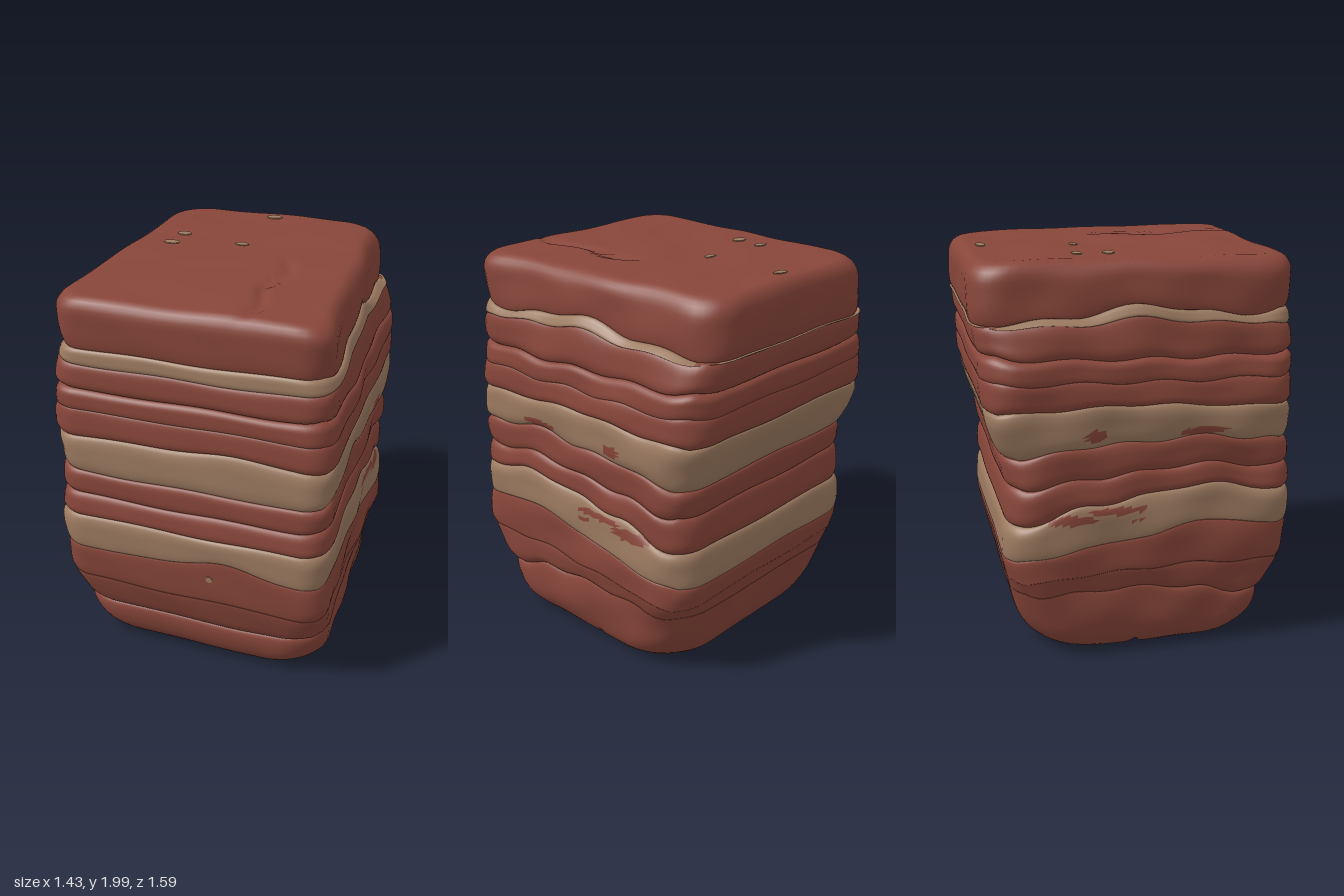
import * as THREE from 'three';

const red = new THREE.MeshStandardMaterial({ color: 0x88463a });
red.name = 'brick red';
const cream = new THREE.MeshStandardMaterial({ color: 0x9c7a60 });
cream.name = 'sandy tan';

// z positions at which each layer's top height is given, front to back
const KNOTS = [0.76, 0.6, 0.3, 0, -0.3, -0.72];

// Layers from the ground up. top: heights at KNOTS; size: half width, front reach, back reach;
// patches: red ovals on the left and right sides as z, y, half length, half height
const LAYERS = [
  { name: 'footLayer', mat: red, top: [0.24, 0.27, 0.33, 0.36, 0.37, 0.36], size: [0.675, 0.69, 0.65], groove: 0.03, smoothBack: true },
  { name: 'lowerRedLayer', mat: red, top: [0.45, 0.46, 0.48, 0.48, 0.47, 0.44], size: [0.7, 0.76, 0.67], groove: 0.008, smoothBack: true },
  { name: 'middleRedLayer', mat: red, top: [0.65, 0.66, 0.71, 0.65, 0.61, 0.55], size: [0.705, 0.78, 0.69], groove: 0.01, bump: 0.06 },
  {
    name: 'lowerTanBand', mat: cream, top: [0.83, 0.85, 0.9, 0.86, 0.83, 0.73], size: [0.7, 0.785, 0.68], groove: 0.025,
    patches: [[-0.14, 0.797, 0.15, 0.018], [-0.36, 0.762, 0.12, 0.028], [-0.05, 0.745, 0.04, 0.01]],
  },
  { name: 'thinRedLayer', mat: red, top: [0.95, 0.96, 1.0, 0.98, 0.96, 0.92], size: [0.69, 0.765, 0.67], groove: 0.02 },
  { name: 'upperRedLayer', mat: red, top: [1.08, 1.1, 1.14, 1.125, 1.12, 1.07], size: [0.695, 0.765, 0.69], groove: 0.02 },
  {
    name: 'middleTanBand', mat: cream, top: [1.28, 1.28, 1.3, 1.325, 1.32, 1.31], size: [0.71, 0.765, 0.765], groove: 0.025, bump: 0.025,
    patches: [[0.28, 1.172, 0.12, 0.02], [-0.25, 1.18, 0.05, 0.03]],
  },
  { name: 'foldedRedLayer', mat: red, top: [1.42, 1.42, 1.42, 1.43, 1.44, 1.45], size: [0.7, 0.755, 0.775], groove: 0.01 },
  { name: 'creasedRedLayer', mat: red, top: [1.52, 1.52, 1.52, 1.53, 1.54, 1.56], size: [0.69, 0.75, 0.775], groove: 0.03 },
  { name: 'narrowRedLayer', mat: red, top: [1.65, 1.68, 1.69, 1.725, 1.7, 1.7], size: [0.685, 0.745, 0.785], groove: 0.014, taper: 0.04 },
  { name: 'upperTanBand', mat: cream, top: [1.73, 1.715, 1.74, 1.785, 1.735, 1.705], size: [0.664, 0.74, 0.795], groove: 0.014, taper: 0.065 },
  { name: 'topSlab', mat: red, top: [1.985, 1.985, 1.985, 1.985, 1.985, 1.985], size: [0.66, 0.75, 0.8], groove: 0.075, taper: 0.1 },
];
const GROUND = { top: [0, 0, 0, 0, 0, 0], size: [0.65, 0.64, 0.57], groove: 0.11 };

const SIDE = 36;              // points along each side of a ring
const N = SIDE * 4;
const { lerp, clamp } = THREE.MathUtils;

// Ring parameter to a point on the unit square
function squarePoint(i) {
  const f = ((i % SIDE) / SIDE) * 2 - 1;
  return [[1, f], [-f, 1], [-1, -f], [f, -1]][Math.floor(i / SIDE)];
}

// Layer height at depth z, eased between the knots
function heightAt(h, z) {
  const last = KNOTS.length - 1;
  for (let k = 0; k < last; k++) {
    if (z >= KNOTS[k + 1]) {
      const f = clamp((KNOTS[k] - z) / (KNOTS[k] - KNOTS[k + 1]), 0, 1);
      return lerp(h[k], h[k + 1], f * f * (3 - 2 * f));
    }
  }
  return h[last];
}

// Lumpy surface relief
function lumps(x, y, z) {
  return 0.5 * Math.sin(7 * x + 9 * y + 2 * Math.sin(5 * z))
    + 0.35 * Math.sin(15 * z - 11 * y + 1.3)
    + 0.3 * Math.sin(23 * y + 13 * x + 8 * z);
}

// Dents and swells of the top face
function topRelief(x, z) {
  const line = x - 0.27 - 0.025 * Math.sin(14 * z);
  const along = clamp((z + 0.1) * 6, 0, 1) * clamp((0.75 - z) * 6, 0, 1);
  return 0.006 * lumps(x, 0, z) - 0.018 * along * Math.exp(-line * line / 0.0006);
}

// Crease across the underside
const footRelief = (z) => 0.025 * Math.exp(-((z + 0.03) ** 2) / 0.0004);

// Gentle waviness of a layer's upper boundary, with an optional rise on the front face
function wave(layer, px, pz) {
  const y = layer.top[0];
  if (y === 0 || y > 1.95) return 0;
  const rise = (layer.bump || 0) * clamp(pz, 0, 1) ** 8 * Math.exp(-((px - 0.3) ** 2) / 0.08);
  return rise + 0.004 * Math.sin(6 * px + 13 * y) + 0.008 * px ** 4 * Math.sin(12 * pz + 9 * y);
}

const rounding = (u) => (u <= 0 ? 0 : 1 - Math.sqrt(1 - Math.min(u, 1) ** 2));

function buildLayer(below, layer, isFirst, isLast) {
  // Rows [height fraction, scale]: underside, wall, then upper face; hidden faces are only rims
  const rows = (isFirst ? [0, 0.2, 0.4, 0.6, 0.8, 0.93] : [0.8]).map((s) => [0, s]);
  for (let i = 0; i <= 16; i++) rows.push([0.5 - 0.5 * Math.cos((Math.PI * i) / 16), 1]);
  if (isLast) for (let k = 19; k >= 0; k--) rows.push([1, k / 20]);
  else rows.push([1, 0.8]);

  const pos = [];
  for (const [t, s] of rows) {
    for (let i = 0; i < N; i++) {
      const [px, pz] = squarePoint(i);
      const zn = pz * (pz > 0 ? 0.76 : 0.72);
      const h0 = heightAt(below.top, zn), h1 = heightAt(layer.top, zn);
      let y = lerp(h0 + wave(below, px, pz), h1 + wave(layer, px, pz), t);

      // Inset towards the grooves, softer where the layer is thin
      const thin = clamp((h1 - h0) / 0.07, 0, 1);
      const fade = clamp(0.7 + pz, 0, 1);
      const g0 = below.groove * (below.smoothBack ? fade : 1);
      const g1 = layer.groove * (layer.smoothBack ? fade : 1);
      const inset = thin * (g0 * rounding(1 - t / (isFirst ? 0.6 : 0.35)) + g1 * rounding(1 - (1 - t) / 0.35));
      const [hx, zf, zb] = below.size.map((v, k) => lerp(v, layer.size[k], t) - inset);

      // Rounded rectangle, with wider corners at the back and near the ground
      const corner = (pz > 0 ? 0.13 : 0.18) + 0.15 * clamp(1 - y / 0.5, 0, 1);
      let x = px * hx, z = pz * (pz > 0 ? zf : zb);
      const cx = clamp(x, corner - hx, hx - corner), cz = clamp(z, corner - zb, zf - corner);
      const d = Math.hypot(x - cx, z - cz);
      if (d > corner) {
        x = cx + ((x - cx) * corner) / d;
        z = cz + ((z - cz) * corner) / d;
      }
      x *= 1 + lerp(below.taper || 0, layer.taper || 0, t) * (z - 0.6);
      if (pz > 0) z *= 1 + 0.03 * px * (1 - y / 2);

      const swell = 1 + lumps(x, y, z) * (0.008 + 0.007 * Math.abs(px) ** 6);
      x *= swell * s;
      z *= lerp(1, swell, 0.6) * s;
      if (isLast) y += topRelief(x, z) * t * t;
      if (isFirst) y += footRelief(z) * (1 - t) ** 8;
      pos.push(x, y, z);
    }
  }

  // Faces, sorted into the layer's own colour and its red patches
  const own = [], patched = [];
  for (let r = 0; r < rows.length - 1; r++) {
    for (let i = 0; i < N; i++) {
      const j = (i + 1) % N;
      const a = r * N + i, b = r * N + j, c = a + N, e = b + N;
      const onSide = Math.abs(squarePoint(i)[0]) === 1;
      for (const tri of [[a, c, b], [b, c, e]]) {
        const mid = (axis) => tri.reduce((sum, v) => sum + pos[v * 3 + axis] / 3, 0);
        const inPatch = onSide && (layer.patches || []).some(([z, y, rz, ry]) =>
          Math.hypot((mid(2) - z) / rz, (mid(1) - y) / ry) < 1);
        (inPatch ? patched : own).push(...tri);
      }
    }
  }
  const geo = new THREE.BufferGeometry();
  geo.setAttribute('position', new THREE.Float32BufferAttribute(pos, 3));
  geo.setIndex([...own, ...patched]);
  geo.addGroup(0, own.length, 0);
  geo.addGroup(own.length, patched.length, 1);
  geo.computeVertexNormals();
  const mesh = new THREE.Mesh(geo, [layer.mat, red]);
  mesh.name = layer.name;
  return mesh;
}

// Thin oval plate laid on a layer's surface near the target point
function buildFleck(layer, target, sizeX, sizeZ) {
  const { position, normal } = layer.geometry.attributes;
  const v = new THREE.Vector3(), near = new THREE.Vector3(), n = new THREE.Vector3();
  let best = Infinity;
  for (let i = 0; i < position.count; i++) {
    const dist = v.fromBufferAttribute(position, i).distanceToSquared(target);
    if (dist < best) {
      best = dist;
      near.copy(v);
      n.fromBufferAttribute(normal, i);
    }
  }
  const fleck = new THREE.Mesh(new THREE.CylinderGeometry(1, 1, 0.009, 14), cream);
  fleck.name = layer.name + 'Fleck';
  fleck.scale.set(sizeX, 1, sizeZ);
  fleck.quaternion.setFromUnitVectors(new THREE.Vector3(0, 1, 0), n);
  fleck.position.copy(target).addScaledVector(n, near.sub(target).dot(n));
  return fleck;
}

export function createModel() {
  const group = new THREE.Group();
  group.name = 'layeredBlock';

  LAYERS.forEach((layer, i) => {
    group.add(buildLayer(i ? LAYERS[i - 1] : GROUND, layer, i === 0, i === LAYERS.length - 1));
  });

  // Small tan flecks on the top and front faces
  const flecks = [
    ['topSlab', 0, 1.985, -0.675, 0.042, 0.025],
    ['topSlab', -0.37, 1.985, -0.265, 0.037, 0.025],
    ['topSlab', -0.385, 1.985, -0.115, 0.042, 0.028],
    ['topSlab', -0.04, 1.985, -0.215, 0.036, 0.021],
    ['middleRedLayer', 0.115, 0.6, 0.78, 0.017, 0.017],
  ];
  for (const [name, x, y, z, sizeX, sizeZ] of flecks) {
    group.add(buildFleck(group.getObjectByName(name), new THREE.Vector3(x, y, z), sizeX, sizeZ));
  }
  return group;
}
